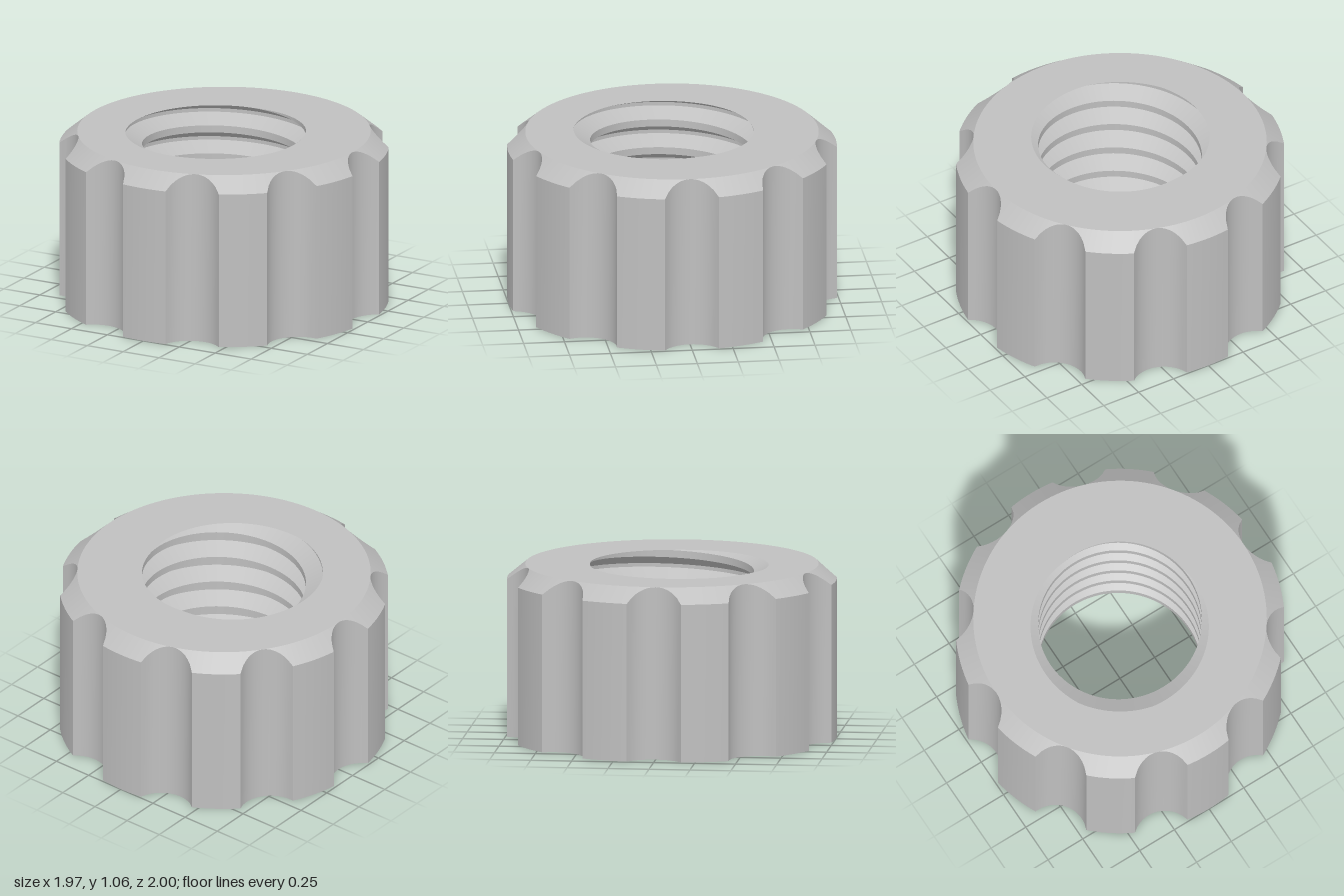
import * as THREE from 'three';
import { toCreasedNormals } from 'three/addons/utils/BufferGeometryUtils.js';

const TOP = 1.06, R = 1, FACE_R = 0.89;            // height, ridge radius, top face radius
const NOTCHES = 10, NOTCH_C = 1.08, NOTCH_R = 0.19; // scalloped grip
const PITCH = 0.178, MAJOR = 0.6, MINOR = 0.497;    // right-hand thread
const LEDGE_Y = 0.115, LEDGE_R = 0.57, MOUTH_R = 0.68;
const THREAD_START = (125 * Math.PI) / 180;
const TAU = Math.PI * 2, STEP = TAU / NOTCHES;

// Half angle of one notch where it meets the ridge circle
const HALF = Math.acos((R * R + NOTCH_C ** 2 - NOTCH_R ** 2) / (2 * R * NOTCH_C));

// Columns around the axis, lined up with the notch edges
const angles = [];
for (let n = 0; n < NOTCHES; n++) {
  for (let i = 0; i < 16; i++) angles.push(n * STEP - HALF + (2 * HALF * i) / 16);
  for (let i = 0; i < 8; i++) angles.push(n * STEP + HALF + ((STEP - 2 * HALF) * i) / 8);
}
angles.push(TAU - HALF);

// Scalloped outline radius
function outline(a) {
  const d = a - Math.round(a / STEP) * STEP;
  if (Math.abs(d) > HALF - 1e-6) return R;
  return NOTCH_C * Math.cos(d) - Math.sqrt(NOTCH_R ** 2 - (NOTCH_C * Math.sin(d)) ** 2);
}

// Thread radius: flat root, 30 degree flanks, flat crest
function threadRadius(a, y) {
  const turn = (y - TOP) / PITCH - (a + THREAD_START) / TAU;
  const d = Math.abs(turn - Math.round(turn));
  const t = THREE.MathUtils.clamp((d - 0.0625) / 0.3125, 0, 1);
  return MAJOR + (MINOR - MAJOR) * t;
}

// Surface through rings; each ring maps an angle to [radius, height]
function band(name, rings, material) {
  const pos = [], index = [], n = angles.length;
  for (const ring of rings) {
    for (const a of angles) {
      const [r, y] = ring(a);
      pos.push(r * Math.cos(a), y, -r * Math.sin(a));
    }
  }
  for (let j = 0; j < rings.length - 1; j++) {
    for (let i = 0; i < n - 1; i++) {
      const p = j * n + i, q = p + n;
      index.push(p, p + 1, q + 1, p, q + 1, q);
    }
  }
  const g = new THREE.BufferGeometry();
  g.setAttribute('position', new THREE.Float32BufferAttribute(pos, 3));
  g.setIndex(index);
  const mesh = new THREE.Mesh(toCreasedNormals(g, 0.4), material);
  mesh.name = name;
  return mesh;
}

export function createModel() {
  const metal = new THREE.MeshStandardMaterial({ color: 0xbfbfbf });
  metal.name = 'grey metal';
  const group = new THREE.Group();
  group.name = 'threadedKnob';

  // Shared edges of the parts
  const mouth = () => [MOUTH_R, 0];
  const foot = (a) => [outline(a), 0];
  const shoulder = (a) => [outline(a), TOP - (outline(a) - FACE_R) * 0.82];
  const rim = () => [FACE_R, TOP];
  const boreTop = (a) => [threadRadius(a, TOP), TOP];
  const boreEnd = (a) => [Math.min(LEDGE_R, threadRadius(a, LEDGE_Y)), LEDGE_Y];
  const ledge = () => [LEDGE_R, LEDGE_Y];

  // Helical rows follow the corners of the thread, trimmed at both ends
  const threadRows = [];
  for (let k = 1; k >= -8; k--) {
    for (const o of [0.625, 0.375, 0.0625, -0.0625]) {
      threadRows.push((a) => {
        const raw = TOP + PITCH * ((a + THREAD_START) / TAU + k + o);
        const y = THREE.MathUtils.clamp(raw, LEDGE_Y, TOP);
        return [threadRadius(a, y), y];
      });
    }
  }

  group.add(
    band('bottomFace', [mouth, foot], metal),
    band('scallopedGrip', [foot, shoulder], metal),
    band('topChamfer', [shoulder, rim], metal),
    band('topFace', [rim, boreTop], metal),
    band('threadedBore', threadRows, metal),
    band('boreLedge', [boreEnd, ledge], metal),
    band('bottomCountersink', [ledge, mouth], metal),
  );
  return group;
}
